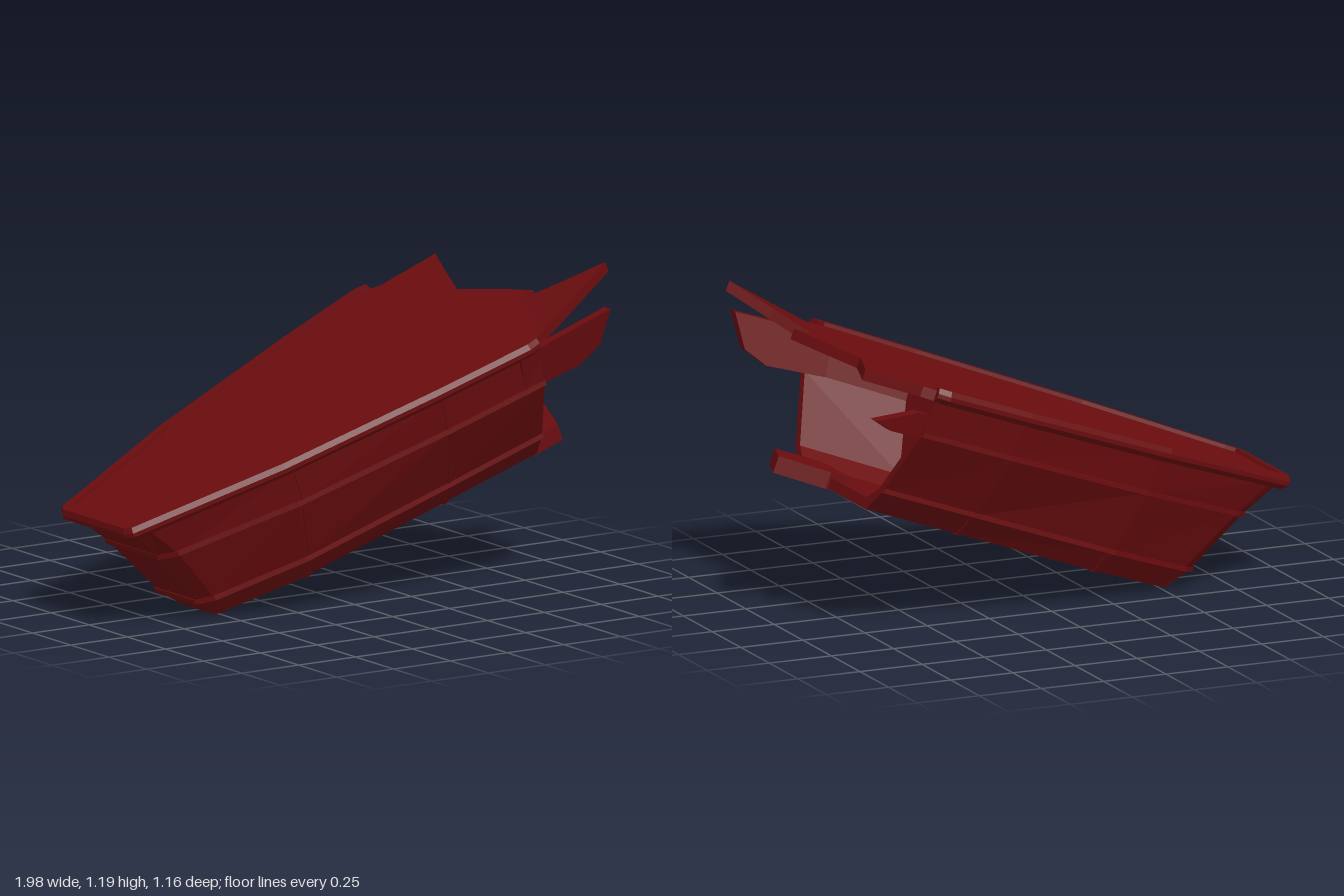
import * as THREE from 'three';

// Local frame: x runs along the deck from the bow, y is normal to the deck, z is across.
const TILT = 0.357, END = 1.68, BULKHEAD = 1.27;
const material = new THREE.MeshStandardMaterial({ color: 0x6a0c0e, flatShading: true, side: THREE.DoubleSide });

// Half widths [x, z] of the strake edges, from bow to torn end
const RIM = [[0, 0.2], [0.02, 0.235], [0.07, 0.25], [0.61, 0.41], [1.27, 0.53], [1.64, 0.58], [1.69, 0.57]];
const LEVELS = [
  { y: -0.04, side: [[0.04, 0.19], [0.09, 0.225], [0.64, 0.385], [1.27, 0.505], [END, 0.555]] },
  { y: -0.188, side: [[0.13, 0.17], [0.18, 0.22], [0.64, 0.37], [1.27, 0.48], [END, 0.53]] },
  { y: -0.44, side: [[0.24, 0.13], [0.29, 0.175], [0.64, 0.28], [1.27, 0.345], [END, 0.38]] },
  { y: -0.53, side: [[0.304, 0.11], [0.34, 0.125], [0.64, 0.215], [1.27, 0.265], [END, 0.3]] },
];

function add(group, name, geometry) {
  const mesh = new THREE.Mesh(geometry, material);
  mesh.name = name;
  group.add(mesh);
  return mesh;
}

// Skin over rows of points, all rows of equal length
function loft(rows) {
  const n = rows[0].length, index = [];
  for (let r = 0; r < rows.length - 1; r++) {
    for (let c = 0; c < n - 1; c++) {
      const a = r * n + c, b = a + n;
      index.push(a, b, a + 1, a + 1, b, b + 1);
    }
  }
  const g = new THREE.BufferGeometry();
  g.setAttribute('position', new THREE.Float32BufferAttribute(rows.flat(2), 3));
  g.setIndex(index);
  const out = g.toNonIndexed();
  out.computeVertexNormals();
  return out;
}

// U-shaped outline: -z side to the bow and back along the +z side
const outline = (side) => [...side].reverse().map(([x, z]) => [x, -z]).concat(side);

// Shift an open outline outwards by d
function offset(path, d) {
  return path.map(([x, z], i) => {
    const a = path[Math.max(i - 1, 0)], b = path[Math.min(i + 1, path.length - 1)];
    const dx = b[0] - a[0], dz = b[1] - a[1], l = Math.hypot(dx, dz);
    return [x - (dz / l) * d, z + (dx / l) * d];
  });
}

// Closed moulding swept along an outline; section points are [outwards, y]
function moulding(path, section) {
  const loops = section.concat([section[0]]).map(([d, y]) => offset(path, d).map(([x, z]) => [x, y, z]));
  const rows = path.map((_, i) => loops.map((l) => l[i]));
  const centre = (row) => {
    const m = [0, 1, 2].map((k) => row.reduce((s, p) => s + p[k], 0) / row.length);
    return row.map(() => m);
  };
  return loft([centre(rows[0]), ...rows, centre(rows[rows.length - 1])]);
}

// Flat plate from an [x, z] outline, top face at y
function plate(points, y, depth) {
  const shape = new THREE.Shape(points.map(([x, z]) => new THREE.Vector2(x, z)));
  const g = new THREE.ExtrudeGeometry(shape, { depth, bevelEnabled: false });
  return g.rotateX(Math.PI / 2).translate(0, y, 0);
}

// Half width of a level at any x
function widthAt(side, x) {
  for (let i = 1; i < side.length; i++) {
    if (x <= side[i][0]) {
      const [a, b] = [side[i - 1], side[i]];
      return a[1] + ((b[1] - a[1]) * (x - a[0])) / (b[0] - a[0]);
    }
  }
  return side[side.length - 1][1];
}

// Cross-section of the hull at x, from +z rim to -z rim, shrunk inwards by inset
function section(x, inset = 0) {
  const half = LEVELS.map(({ y, side }, i) => [x, i === 3 ? y + inset : y, widthAt(side, x) - inset]);
  return half.concat([...half].reverse().map(([a, y, z]) => [a, y, -z]));
}

export function createModel() {
  const model = new THREE.Group();
  const hull = new THREE.Group();
  hull.name = 'tornHullSection';
  hull.rotation.z = TILT;
  hull.position.set(-0.99, 0.39, 0);
  model.add(hull);

  // Side strakes wrapping round the bow
  const rows = LEVELS.map(({ y, side }) => outline(side).map(([x, z]) => [x, y, z]));
  ['upperStrake', 'middleStrake', 'lowerStrake'].forEach((name, i) => add(hull, name, loft([rows[i], rows[i + 1]])));
  add(hull, 'bottomPlate', plate(outline(LEVELS[3].side), -0.49, 0.04));

  // Lips along the strake edges
  [1, 2].forEach((i) => {
    const y = LEVELS[i].y;
    add(hull, 'strakeLip', moulding(outline(LEVELS[i].side), [[-0.02, y + 0.012], [0.01, y + 0.012], [0.012, y - 0.006], [-0.02, y - 0.012]]));
  });

  // Raised gunwale
  add(hull, 'gunwale', moulding(outline(RIM), [[-0.045, 0], [-0.01, 0], [0, -0.02], [0, -0.036], [-0.025, -0.056], [-0.05, -0.056]]));

  // Thin seam bands where the plating overlaps
  [0.66, BULKHEAD].forEach((x) => {
    const band = [[x - 0.008, 0.02], [x - 0.008, -0.005], [x + 0.008, -0.005], [x + 0.008, 0.02]];
    add(hull, 'platingSeam', loft(band.map(([u, d]) => section(u, d))));
  });

  // Deck with a torn edge; the +z shard is bent upwards
  const inner = offset(outline(RIM), -0.035);
  const torn = [[1.73, 0.515], [2.13, 0.43], [1.99, 0.3], [1.87, 0.178], [1.95, 0.172], [1.91, 0.04],
    [1.83, -0.165], [1.92, -0.38], [1.98, -0.515], [1.73, -0.515]];
  const deck = plate(inner.concat(torn), -0.014, 0.04);
  const p = deck.attributes.position;
  for (let i = 0; i < p.count; i++) {
    if (p.getZ(i) > 0.175 && p.getX(i) > 1.87) p.setY(i, p.getY(i) + (p.getX(i) - 1.87) * 0.3);
  }
  deck.computeVertexNormals();
  add(hull, 'deck', deck);

  // Hollow compartment at the torn end
  add(hull, 'innerWall', loft([section(BULKHEAD, 0.035), section(END, 0.035)]));
  add(hull, 'tornWallEdge', loft([section(END, 0), section(END, 0.035)]));
  const wall = new THREE.Shape(section(0, 0.01).map(([, y, z]) => new THREE.Vector2(-z, y)));
  wall.setFromPoints(section(BULKHEAD, 0.01).map(([, y, z]) => new THREE.Vector2(-z, y)));
  add(hull, 'bulkhead', new THREE.ShapeGeometry(wall).rotateY(Math.PI / 2).translate(BULKHEAD, 0, 0));

  // Shard of the floor
  add(hull, 'floorShard', plate([[1.6, 0.03], [1.69, 0.03], [1.89, 0.08], [1.8, 0.3], [1.68, 0.3], [1.6, 0.28]], -0.47, 0.064));

  // Broken side planks leaning with the hull wall: points are [x, y]
  const plank = (name, points, z, lean, thickness) => {
    const shape = new THREE.Shape(points.map(([x, y]) => new THREE.Vector2(x, y)));
    const g = new THREE.ExtrudeGeometry(shape, { depth: thickness, bevelEnabled: false });
    const q = g.attributes.position;
    for (let i = 0; i < q.count; i++) q.setZ(i, q.getZ(i) + z + q.getY(i) * lean);
    g.computeVertexNormals();
    add(hull, name, g);
  };
  plank('leftBrokenPlank', [[1.6, -0.04], [2.02, -0.05], [1.95, -0.17], [1.85, -0.205], [1.6, -0.188]], 0.53, 0.28, 0.042);
  plank('rightBrokenPlank', [[1.6, -0.11], [1.72, -0.11], [1.87, -0.185], [1.8, -0.205], [1.6, -0.2]], -0.55, -0.18, 0.05);

  return model;
}
